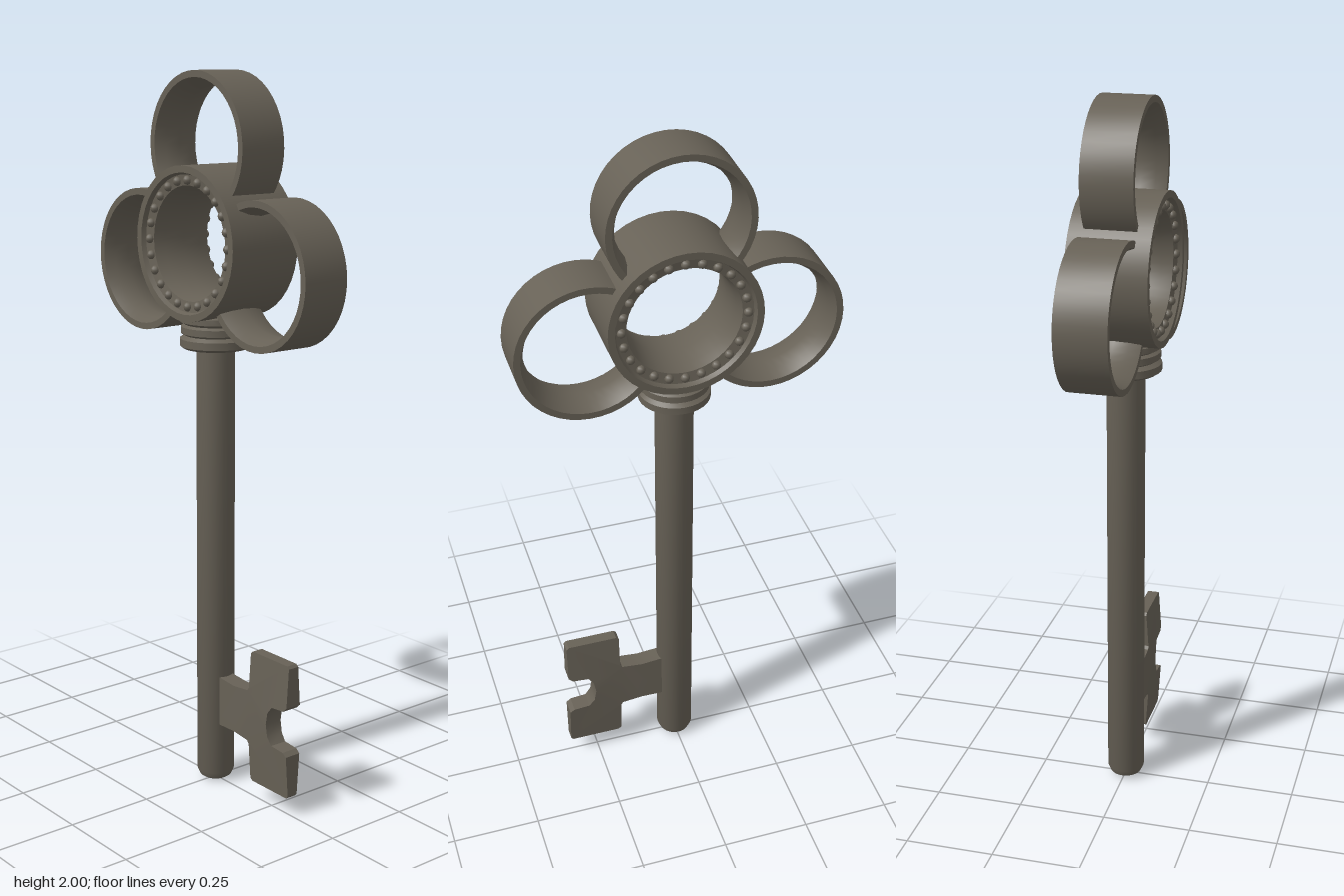
import * as THREE from 'three';
import { toCreasedNormals } from 'three/addons/utils/BufferGeometryUtils.js';

const CENTRE_Y = 1.55;

export function createModel() {
  const key = new THREE.Group();
  key.name = 'key';
  const iron = new THREE.MeshStandardMaterial({ color: 0x676156 });
  iron.name = 'agedIron';

  const add = (name, geometry, parent = key) => {
    const mesh = new THREE.Mesh(geometry, iron);
    mesh.name = name;
    parent.add(mesh);
    return mesh;
  };
  const lathe = (profile, segments, start = 0, length = Math.PI * 2) =>
    toCreasedNormals(new THREE.LatheGeometry(
      profile.map(([r, y]) => new THREE.Vector2(r, y)), segments, start, length), 0.6);

  // Shaft with a rounded tip
  add('shaft', lathe([[0, 0], [0.03, 0.003], [0.045, 0.012], [0.053, 0.03], [0.053, 1.3]], 28));

  // Stepped collar with rounded bands, running up into the bow
  const collar = [[0.05, 1.26]];
  for (const [r, y, h] of [[0.098, 1.262, 0.034], [0.095, 1.298, 0.03], [0.098, 1.33, 0.026]]) {
    collar.push([r - 0.01, y], [r, y + h * 0.2], [r, y + h * 0.8], [r - 0.01, y + h]);
  }
  collar.push([0.085, 1.375], [0, 1.375]);
  add('collar', lathe(collar, 32));

  // Central ring: raised rims, recessed bead tracks and a bulging bore
  const half = [[0.207, 0.11], [0.188, 0.11], [0.183, 0.097], [0.154, 0.092], [0.147, 0.06], [0.143, 0]];
  const mirrored = half.slice(0, -1).reverse().map(([r, z]) => [r, -z]);
  const ring = add('centralRing', lathe([...half, ...mirrored, half[0]], 40));
  ring.rotation.x = Math.PI / 2;
  ring.position.y = CENTRE_Y;

  // Beads around both faces
  const beads = new THREE.Group();
  beads.name = 'beads';
  beads.position.y = CENTRE_Y;
  key.add(beads);
  const beadGeometry = new THREE.SphereGeometry(0.0125, 10, 8);
  const beadCount = 24;
  for (const side of [1, -1]) {
    for (let i = 0; i < beadCount; i++) {
      const a = (i / beadCount) * Math.PI * 2;
      add('bead', beadGeometry, beads)
        .position.set(0.168 * Math.cos(a), 0.168 * Math.sin(a), side * 0.095);
    }
  }

  // Three open loops whose ends sink into the wall of the central ring
  const loopProfile = [[0.196, -0.07], [0.196, 0.07], [0.178, 0.07], [0.165, 0.04],
    [0.159, 0], [0.165, -0.04], [0.178, -0.07], [0.196, -0.07]];
  const sweep = 2.3;
  const loopGeometry = lathe(loopProfile, 32, Math.PI - sweep, sweep * 2);
  loopGeometry.rotateX(Math.PI / 2);
  loopGeometry.translate(0, 0.254, 0);
  [['topLoop', 0], ['leftLoop', -105], ['rightLoop', 105]].forEach(([name, degrees]) => {
    const loop = add(name, loopGeometry);
    loop.position.y = CENTRE_Y;
    loop.rotation.z = THREE.MathUtils.degToRad(degrees);
  });

  // Bit: a stem and a notched plate that thins towards its upper and lower ends
  const outline = [[0.03, 0.18], [0.11, 0.182], [0.17, 0.175], [0.176, 0.165], [0.176, 0.062],
    [0.184, 0.055], [0.328, 0.055], [0.335, 0.062], [0.335, 0.18], [0.322, 0.19], [0.275, 0.194],
    [0.259, 0.215], [0.253, 0.25], [0.259, 0.285], [0.275, 0.306], [0.322, 0.31],
    [0.335, 0.322], [0.335, 0.433], [0.328, 0.44], [0.184, 0.44], [0.176, 0.433],
    [0.176, 0.333], [0.17, 0.324], [0.11, 0.318], [0.03, 0.325]];
  const bitGeometry = new THREE.ExtrudeGeometry(
    new THREE.Shape(outline.map(([x, y]) => new THREE.Vector2(x, y))),
    { depth: 2, bevelEnabled: false });
  const p = bitGeometry.attributes.position;
  for (let i = 0; i < p.count; i++) {
    const thickness = 0.027 - 0.068 * Math.max(0, Math.abs(p.getY(i) - 0.25) - 0.03);
    p.setZ(i, (p.getZ(i) - 1) * thickness);
  }
  add('bit', toCreasedNormals(bitGeometry, 0.5));

  return key;
}
